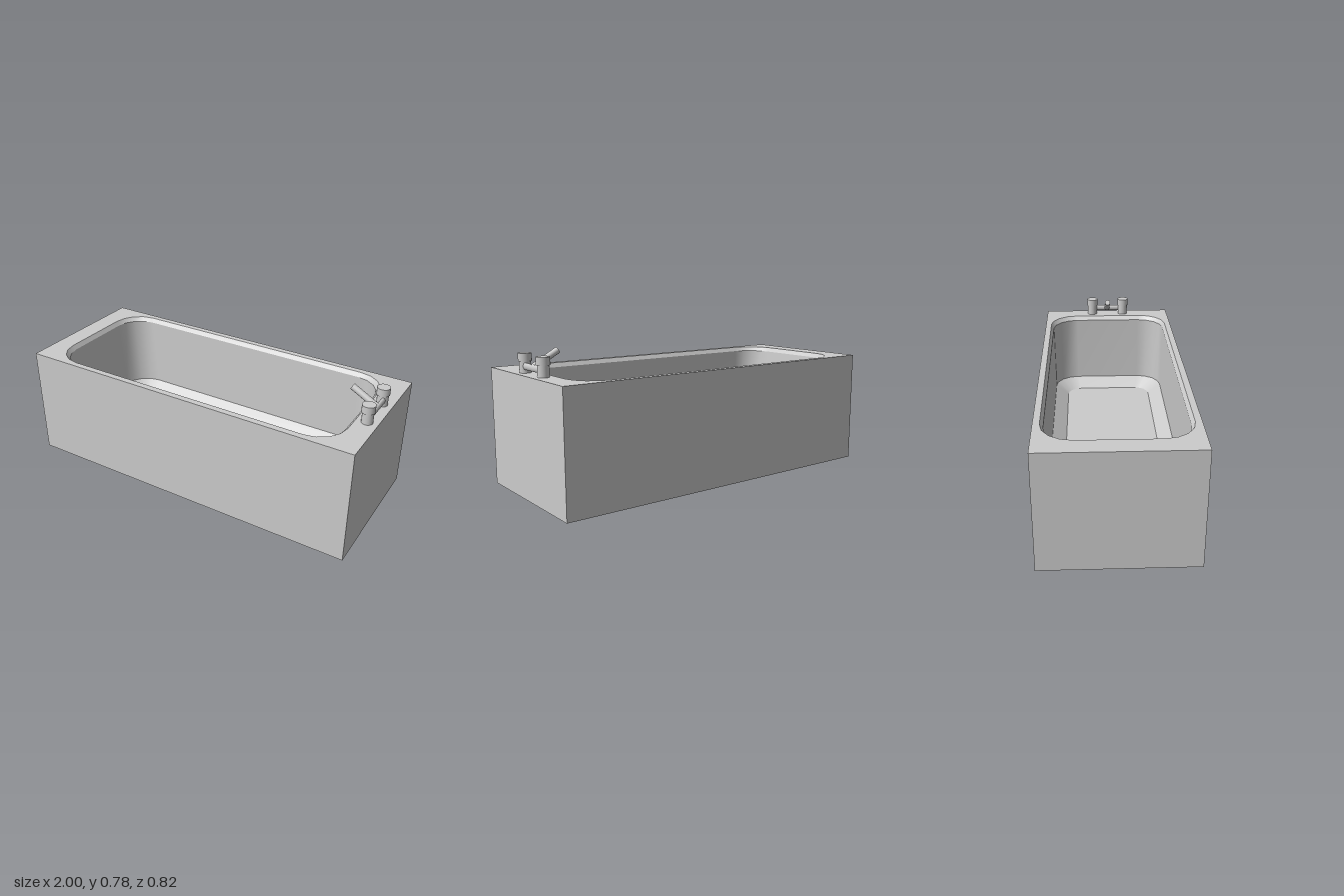
import * as THREE from 'three';

const material = new THREE.MeshStandardMaterial({ color: 0xcccccc, side: THREE.DoubleSide });

// Rounded rectangle outline as [x, z] points
function outline(x0, x1, halfZ, r, segments = 4) {
  const points = [];
  const corners = [[x1 - r, halfZ - r], [x0 + r, halfZ - r], [x0 + r, r - halfZ], [x1 - r, r - halfZ]];
  corners.forEach(([cx, cz], c) => {
    for (let i = 0; i <= segments; i++) {
      const a = (c + i / segments) * Math.PI / 2;
      points.push(new THREE.Vector2(cx + r * Math.cos(a), cz + r * Math.sin(a)));
    }
  });
  return points;
}

// Inward-facing skin through closed rings listed from top to bottom
function loft(rings) {
  const n = rings[0].points.length, positions = [], index = [];
  for (const { points, y } of rings) for (const p of points) positions.push(p.x, y, p.y);
  for (let k = 0; k < rings.length - 1; k++) {
    for (let i = 0; i < n; i++) {
      const a = k * n + i, b = k * n + (i + 1) % n;
      index.push(a, a + n, b, b, a + n, b + n);
    }
  }
  const geometry = new THREE.BufferGeometry();
  geometry.setAttribute('position', new THREE.Float32BufferAttribute(positions, 3));
  geometry.setIndex(index);
  geometry.computeVertexNormals();
  return geometry;
}

function flat(shape, y) {
  return new THREE.ShapeGeometry(shape).rotateX(-Math.PI / 2).translate(0, y, 0);
}

// Cylinder between two points
function rod(from, to, radius) {
  const dir = to.clone().sub(from);
  const geometry = new THREE.CylinderGeometry(radius, radius, dir.length(), 20);
  geometry.applyQuaternion(new THREE.Quaternion().setFromUnitVectors(
    new THREE.Vector3(0, 1, 0), dir.clone().normalize()));
  const mid = from.clone().add(to).multiplyScalar(0.5);
  return geometry.translate(mid.x, mid.y, mid.z);
}

export function createModel() {
  const group = new THREE.Group();
  const add = (name, geometry, parent = group) => {
    const mesh = new THREE.Mesh(geometry, material);
    mesh.name = name;
    parent.add(mesh);
    return mesh;
  };
  const H = 0.647, HZ = 0.408, floorY = 0.153;

  // Outer panels, open underneath
  for (const s of [1, -1]) {
    add(s > 0 ? 'frontPanel' : 'backPanel',
      new THREE.PlaneGeometry(2, H).rotateY(s > 0 ? 0 : Math.PI).translate(0, H / 2, s * HZ));
    add(s > 0 ? 'leftPanel' : 'rightPanel',
      new THREE.PlaneGeometry(2 * HZ, H).rotateY(s * Math.PI / 2).translate(s, H / 2, 0));
  }

  // Basin rings: upright walls, a leaning right end, and a bevel down to the floor
  const rim = { points: outline(-0.886, 0.883, 0.373, 0.165), y: H };
  const lip = { points: outline(-0.868, 0.863, 0.357, 0.155), y: 0.623 };
  const foot = { points: outline(-0.832, 0.86, 0.353, 0.15), y: 0.21 };
  const base = { points: outline(-0.75, 0.782, 0.273, 0.09), y: floorY };

  // Flat deck around the opening
  const deck = new THREE.Shape([[-1, -HZ], [1, -HZ], [1, HZ], [-1, HZ]].map(p => new THREE.Vector2(...p)));
  deck.holes.push(new THREE.Path(rim.points));
  add('deck', flat(deck, H));

  add('rimBevel', loft([rim, lip]));
  add('basinWall', loft([lip, foot]));
  add('basinBevel', loft([foot, base]));
  add('basinFloor', flat(new THREE.Shape(base.points), floorY));

  // Tap set on the deck
  const taps = new THREE.Group();
  taps.name = 'tapSet';
  taps.position.x = 0.941;
  group.add(taps);
  for (const z of [-0.1, 0.106]) {
    add('valveBody', new THREE.CylinderGeometry(0.03, 0.03, 0.062, 24).translate(0, 0.678, z), taps);
    add('valveHandle', new THREE.CylinderGeometry(0.035, 0.035, 0.041, 24).translate(0, 0.728, z), taps);
  }
  const crossbar = add('crossbar',
    rod(new THREE.Vector3(0, 0, -0.077), new THREE.Vector3(0, 0, 0.08), 0.018), taps);
  crossbar.position.set(0.011, 0.683, 0);
  crossbar.scale.x = 0.65;
  add('spout', rod(new THREE.Vector3(0.008, 0.685, 0), new THREE.Vector3(-0.132, 0.763, 0), 0.0175), taps);

  return group;
}
